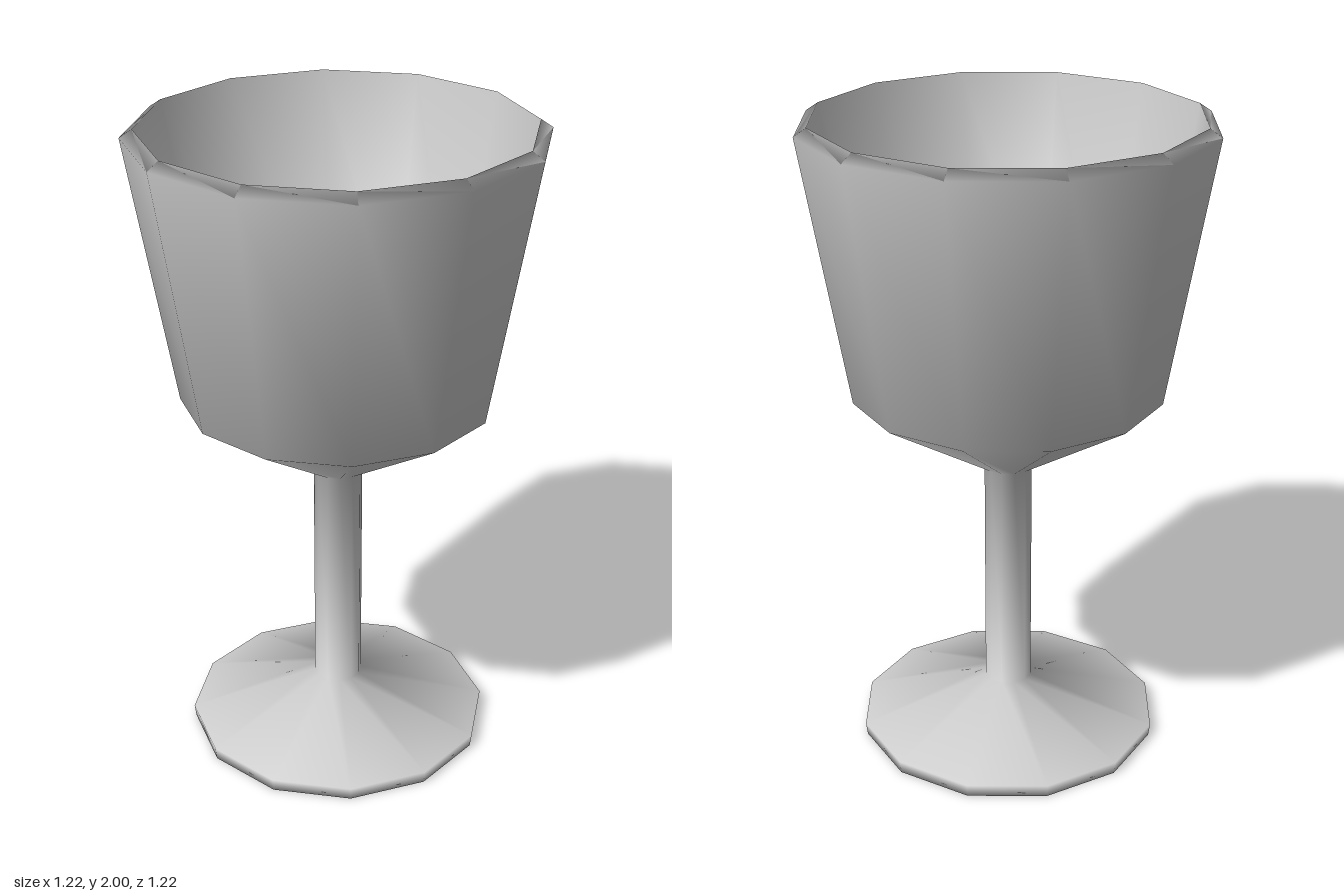
import * as THREE from 'three';

const SIDES = 12;

export function createModel() {
  const group = new THREE.Group();
  group.name = 'goblet';

  // Closed profile [radius, height]: underside, foot, stem, bowl, lip, inside
  const profile = [
    [0, 0], [0.47, 0], [0.475, 0.04],  // foot disc
    [0.075, 0.165],                    // foot slope meets stem
    [0.075, 0.91],                     // stem meets bowl
    [0.475, 1.165], [0.612, 1.975],    // outer bowl
    [0.575, 2],                        // bevelled lip
    [0.435, 1.19], [0, 0.95],          // inner bowl
  ].map(([r, y]) => new THREE.Vector2(r, y));

  // One turned body, so the shading flows from foot to stem to bowl
  const body = new THREE.Mesh(
    new THREE.LatheGeometry(profile, SIDES),
    new THREE.MeshStandardMaterial({ color: 0xcccccc }),
  );
  body.name = 'footStemAndBowl';
  group.add(body);
  return group;
}
